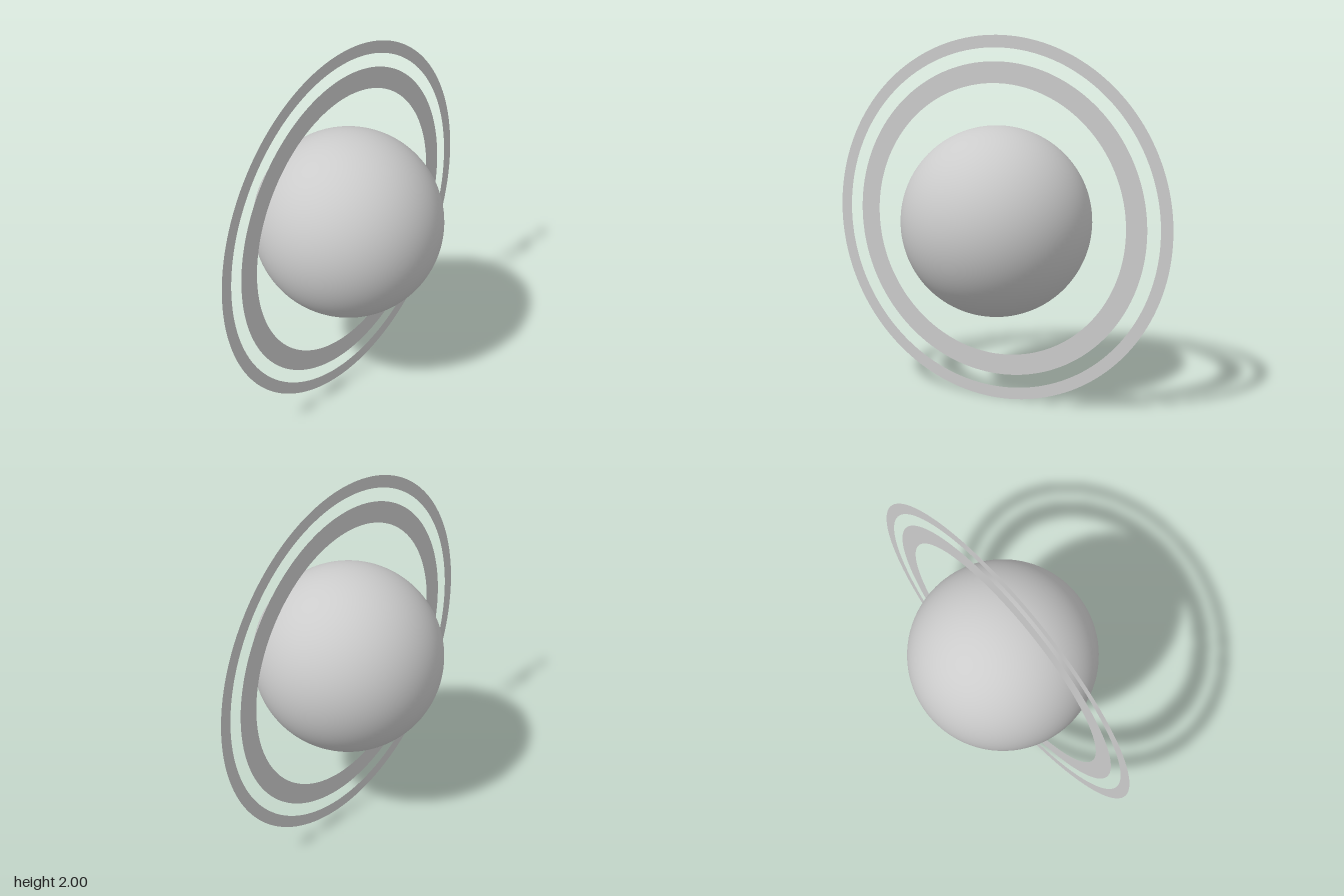
import * as THREE from 'three';

export function createModel() {
  const model = new THREE.Group();
  model.name = 'ringedPlanet';

  const surface = new THREE.MeshStandardMaterial({ color: 0xcccccc });
  const ringSurface = new THREE.MeshStandardMaterial({ color: 0xcccccc, side: THREE.DoubleSide });

  // Planet globe
  const planet = new THREE.Mesh(new THREE.SphereGeometry(0.519, 96, 64), surface);
  planet.name = 'planet';
  planet.position.y = 1;
  model.add(planet);

  // Flat upright rings, turned together about the vertical axis
  const rings = new THREE.Group();
  rings.name = 'rings';
  rings.position.y = 1;
  rings.rotation.y = THREE.MathUtils.degToRad(26.8);
  model.add(rings);

  for (const [name, inner, outer] of [
    ['innerRing', 0.746, 0.861],
    ['outerRing', 0.934, 1],
  ]) {
    const ring = new THREE.Mesh(new THREE.RingGeometry(inner, outer, 160), ringSurface);
    ring.name = name;
    rings.add(ring);
  }

  return model;
}
